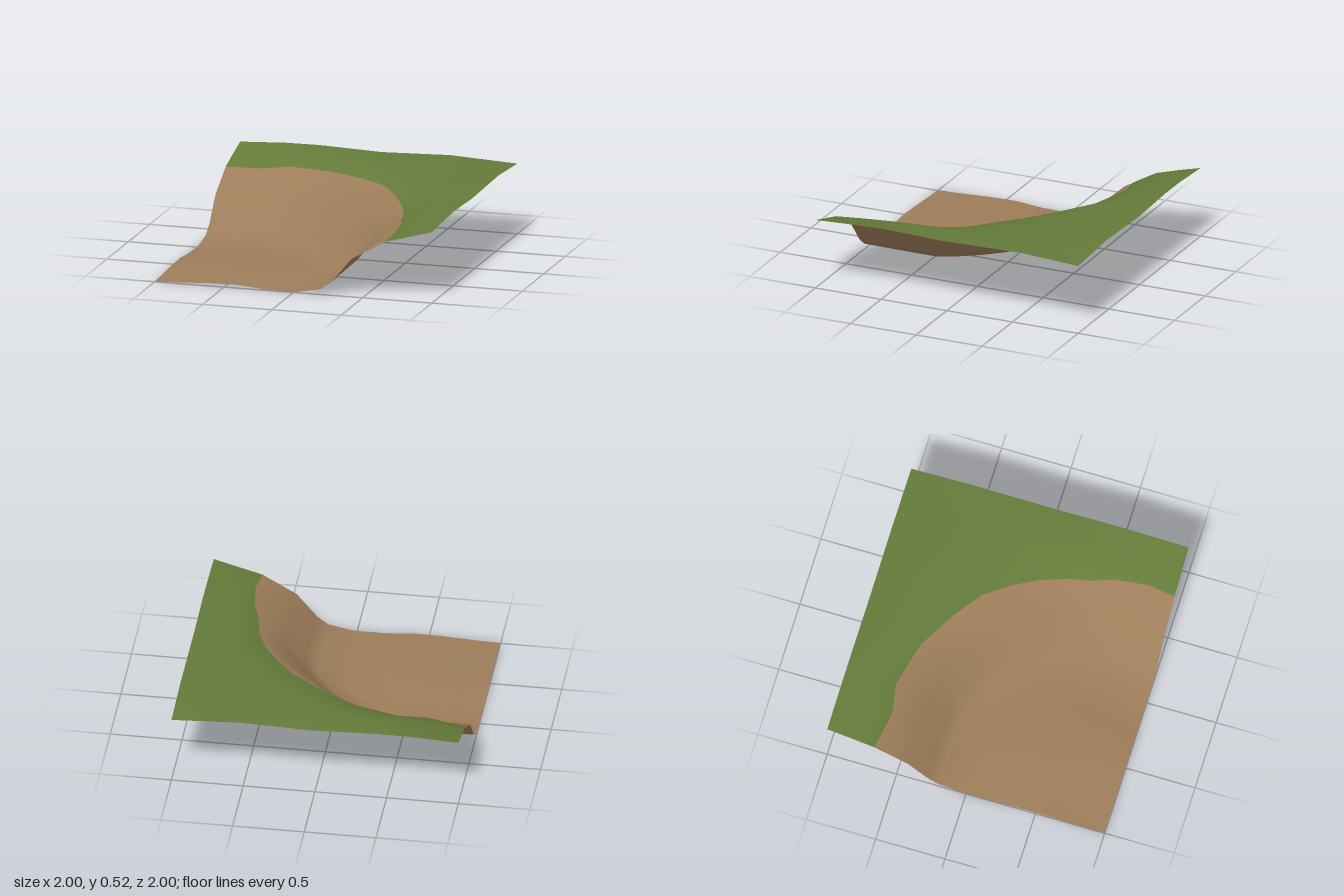
import * as THREE from 'three';

// Inner-corner hillside tile: rings swept about the low corner at (-1, 0, 1).
const mix = THREE.MathUtils.lerp;

// Spokes: [angle in degrees, lip radius, lip height, plateau height, tile border height]
const spokes = [
  [0, 1.66, 0.41, 0.462, 0.505], [6.8, 1.69, 0.435, 0.482, 0.516],
  [14.6, 1.705, 0.44, 0.497, 0.525], [19.6, 1.70, 0.425, 0.503, 0.521],
  [25, 1.735, 0.41, 0.508, 0.512], [31.5, 1.76, 0.43, 0.513, 0.518],
  [38, 1.775, 0.455, 0.517, 0.524], [45, 1.79, 0.47, 0.518, 0.5],
  [52.8, 1.77, 0.467, 0.52, 0.524], [63, 1.76, 0.457, 0.523, 0.508],
  [74, 1.715, 0.45, 0.512, 0.524], [80.5, 1.635, 0.43, 0.49, 0.522],
  [90, 1.66, 0.41, 0.465, 0.505],
];

// Dirt rings: [distance of the straight ends, radius limit of the bend, end height, bend height]
const dirtRings = [
  [0, 0, 0, 0], [0.4, 0.42, 0.02, 0.022], [0.6, 0.65, 0.024, 0.04], [0.8, 0.92, 0.005, 0.035],
  [1, 1.18, 0, 0.015], [1.2, 1.32, 0.04, 0.035], [1.28, 1.42, 0.1, 0.11],
  [1.42, 1.56, 0.27, 0.29], [1.54, 1.67, 0.34, 0.39],
];

// Grass rings: fraction of the way from lip to tile border
const grassRings = [0, 0.25, 0.55, 1];
const plateauAt = 0.55;

export function createModel() {
  const dirt = new THREE.MeshStandardMaterial({ color: 0x9d7d5a, side: THREE.DoubleSide });
  dirt.name = 'dirt';
  const grass = new THREE.MeshStandardMaterial({ color: 0x647b3a, side: THREE.DoubleSide });
  grass.name = 'grass';

  const positions = [];
  const addPoint = (r, angle, y) =>
    positions.push(-1 + r * Math.cos(angle), y, 1 - r * Math.sin(angle));

  // Floor and bank: straight runs along both sides, joined by a rounded bend
  for (const [end, limit, y0, y1] of dirtRings) {
    for (const [degrees] of spokes) {
      const a = THREE.MathUtils.degToRad(degrees);
      const straight = end / Math.max(Math.cos(a), Math.sin(a));
      addPoint(Math.min(straight, limit), a, mix(y0, y1, Math.sin(2 * a)));
    }
  }
  // Lip and plateau out to the square border, rounding over faster at the bend
  for (const f of grassRings) {
    for (const [degrees, radius, lipY, plateauY, borderY] of spokes) {
      const a = THREE.MathUtils.degToRad(degrees);
      const border = 2 / Math.max(Math.cos(a), Math.sin(a));
      const t = f / plateauAt;
      const y = t <= 1
        ? mix(lipY, plateauY, Math.pow(t, mix(1, 0.5, Math.sin(2 * a))))
        : mix(plateauY, borderY, (f - plateauAt) / (1 - plateauAt));
      addPoint(mix(radius, border, f), a, y);
    }
  }

  // Stitch neighbouring rings
  const n = spokes.length;
  const rings = dirtRings.length + grassRings.length;
  const index = [];
  let dirtCount = 0;
  for (let i = 0; i < rings - 1; i++) {
    for (let j = 0; j < n - 1; j++) {
      const a = i * n + j, b = a + n;
      index.push(a, b, b + 1);
      if (i > 0) index.push(a, b + 1, a + 1);
    }
    if (i === dirtRings.length - 1) dirtCount = index.length;
  }

  const geometry = new THREE.BufferGeometry();
  geometry.setAttribute('position', new THREE.Float32BufferAttribute(positions, 3));
  geometry.setIndex(index);
  geometry.addGroup(0, dirtCount, 0);
  geometry.addGroup(dirtCount, index.length - dirtCount, 1);
  geometry.computeVertexNormals();

  const ground = new THREE.Mesh(geometry, [dirt, grass]);
  ground.name = 'cornerHillside';
  const group = new THREE.Group();
  group.name = 'terrainTile';
  group.add(ground);
  return group;
}
